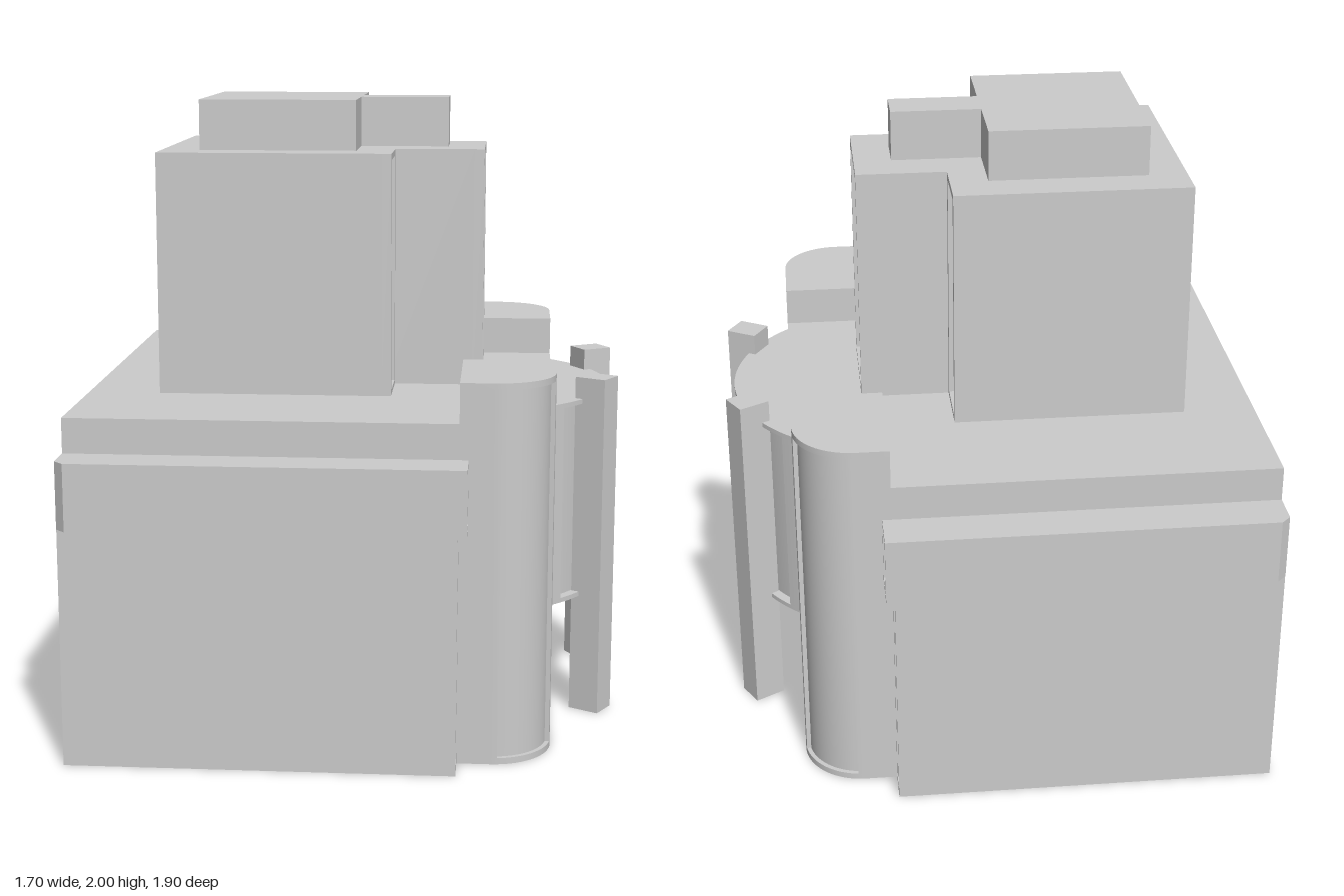
import * as THREE from 'three';
import { toCreasedNormals } from 'three/addons/utils/BufferGeometryUtils.js';

export function createModel() {
  const model = new THREE.Group();
  const material = new THREE.MeshStandardMaterial({ color: 0xcccccc });
  const add = (name, geometry) => {
    const mesh = new THREE.Mesh(geometry, material);
    mesh.name = name;
    model.add(mesh);
    return mesh;
  };

  // Box given by its limits
  const box = (name, x0, x1, y0, y1, z0, z1) => {
    const g = new THREE.BoxGeometry(x1 - x0, y1 - y0, Math.abs(z1 - z0));
    g.translate((x0 + x1) / 2, (y0 + y1) / 2, (z0 + z1) / 2);
    return add(name, g);
  };

  // Upright prism from a floor plan of [x, z] points
  const prism = (name, plan, y0, y1) => {
    const shape = new THREE.Shape(plan.map(([x, z]) => new THREE.Vector2(x, -z)));
    const g = new THREE.ExtrudeGeometry(shape, { depth: y1 - y0, bevelEnabled: false });
    g.rotateX(-Math.PI / 2);
    g.translate(0, y0, 0);
    return add(name, toCreasedNormals(g, 0.5));
  };

  // Panel facing +x with rectangular openings, each [z0, z1, y0, y1]
  const rect = (Type, [z0, z1, y0, y1]) => new Type([
    new THREE.Vector2(-z1, y0), new THREE.Vector2(-z0, y0),
    new THREE.Vector2(-z0, y1), new THREE.Vector2(-z1, y1),
  ]);
  const frame = (name, x0, x1, outline, openings) => {
    const shape = rect(THREE.Shape, outline);
    shape.holes = openings.map((o) => rect(THREE.Path, o));
    const g = new THREE.ExtrudeGeometry(shape, { depth: x1 - x0, bevelEnabled: false });
    g.rotateY(Math.PI / 2);
    g.translate(x0, 0, 0);
    return add(name, g);
  };

  // Points on an arc in plan, angles in degrees from +x toward +z
  const arc = (cx, cz, r, a0, a1, n) => Array.from({ length: n + 1 }, (_, i) => {
    const a = THREE.MathUtils.degToRad(a0 + (a1 - a0) * i / n);
    return [cx + r * Math.cos(a), cz + r * Math.sin(a)];
  });

  // Main block and the framed entrance wall
  box('mainBlock', -0.855, 0.35, 0, 1.07, -0.815, 0.815);
  box('entranceCore', 0.35, 0.625, 0, 1.07, -0.42, 0.42);
  frame('entranceWall', 0.625, 0.64, [-0.42, 0.42, 0, 1.07], [
    [-0.185, 0.185, 0.005, 0.37],
    ...[[-0.41, -0.195], [0.195, 0.41]].flatMap(([a, b]) => [
      [a, b, 0.005, 0.262], [a, b, 0.272, 0.37],
    ]),
  ]);

  for (const s of [1, -1]) {
    const span = (a, b) => (s > 0 ? [a, b] : [-b, -a]);

    // Side wing with a recessed end panel
    box('sideWing', -0.855, 0.325, 0, 0.75, s * 0.815, s * 0.92);
    frame('sideWingEnd', 0.325, 0.35, [...span(0.815, 0.92), 0, 0.75],
      [[...span(0.83, 0.905), 0.02, 0.73]]);

    // Projecting band, chamfered at the rear corner
    prism('sideBand', [[-0.855, 0.815], [0.35, 0.815], [0.35, 0.952],
      [-0.825, 0.952], [-0.855, 0.922]].map(([x, z]) => [x, s * z]), 0.75, 0.96);
    frame('sideBandEnd', 0.35, 0.378, [...span(0.815, 0.952), 0.75, 0.96],
      [[...span(0.828, 0.937), 0.765, 0.945]]);

    // Rounded corner tower with an inset curved panel
    const towerPlan = (inset) => [
      [0.35, 0.42], [0.64, 0.42],
      ...arc(0.452, 0.627, 0.188, 0, 10, 2),
      ...arc(0.452, 0.627, 0.188 - inset, 10.1, 82.9, 16),
      ...arc(0.452, 0.627, 0.188, 83, 90, 2),
      [0.35, 0.815],
    ].map(([x, z]) => [x, s * z]);
    prism('cornerTowerBase', towerPlan(0), 0, 0.02);
    prism('cornerTower', towerPlan(0.014), 0.02, 1.175);
    prism('cornerTowerTop', towerPlan(0), 1.175, 1.195);

    // Free-standing post turned to follow the bow
    const post = add('post', new THREE.BoxGeometry(0.105, 1.12, 0.092));
    post.position.set(0.778, 0.56, s * 0.28);
    post.rotation.y = -s * Math.PI / 6;
  }

  // Bow window: plain slabs above and below a ring of recessed glazing
  const bowArc = (inset, a0, a1, n) => arc(0.267, 0, 0.558 - inset, a0, a1, n);
  const bowSlab = [[0.62, -0.415], ...bowArc(0, -48, 48, 32), [0.62, 0.415]];
  const bowGlazing = [
    [0.62, -0.415],
    ...bowArc(0, -48, -43.5, 2), ...bowArc(0.03, -43.4, -25.1, 6),
    ...bowArc(0, -25, -21, 2), ...bowArc(0.014, -20.9, 20.9, 14),
    ...bowArc(0, 21, 25, 2), ...bowArc(0.03, 25.1, 43.4, 6),
    ...bowArc(0, 43.5, 48, 2),
    [0.62, 0.415],
  ];
  prism('bowSill', bowSlab, 0.39, 0.405);
  prism('bowWindow', bowGlazing, 0.405, 1.035);
  prism('bowTop', bowSlab, 1.035, 1.05);

  // Upper storey with tall recessed windows
  box('upperStorey', -0.625, 0.09, 1.07, 1.84, -0.407, 0.407);
  frame('upperStoreyFront', 0.09, 0.12, [-0.407, 0.407, 1.07, 1.84],
    [[-0.385, -0.212, 1.085, 1.82], [0.212, 0.385, 1.085, 1.82]]);
  box('upperBay', 0.09, 0.375, 1.07, 1.84, -0.19, 0.19);
  frame('upperBayFront', 0.375, 0.407, [-0.19, 0.19, 1.07, 1.84],
    [[-0.168, 0.168, 1.085, 1.82]]);

  // Roof cap
  box('roofCap', -0.503, 0, 1.84, 2, -0.285, 0.285);
  box('roofCapArm', 0, 0.287, 1.84, 2, -0.066, 0.066);

  return model;
}
